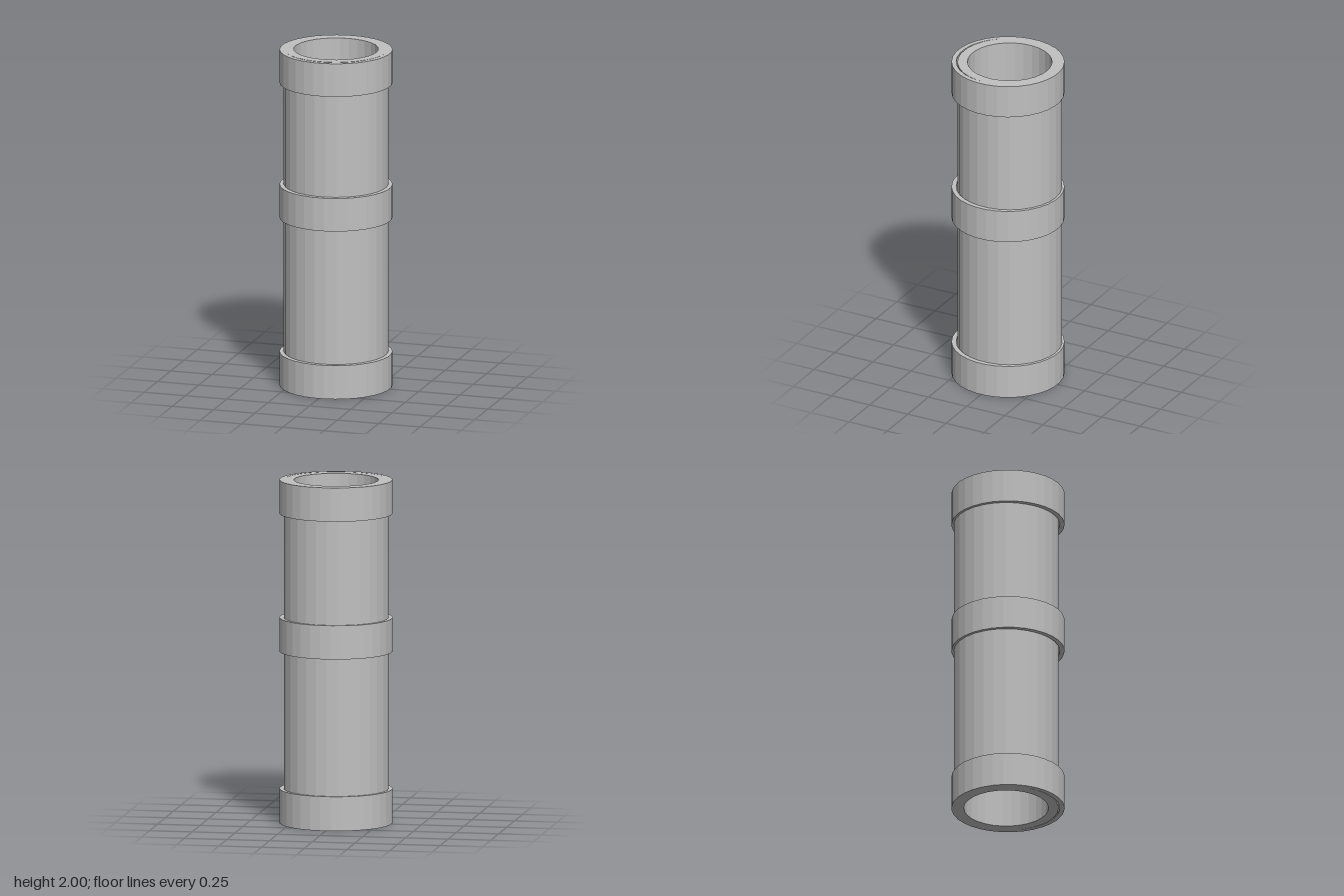
import * as THREE from 'three';

// Closed hollow ring: up the outer wall, across the top, down the bore, back along the bottom
function tubeGeometry(outer, inner, bottom, top, sides, startAngle) {
  const profile = [
    [outer, bottom], [outer, top], [inner, top], [inner, bottom], [outer, bottom],
  ].map(([r, y]) => new THREE.Vector2(r, y));
  return new THREE.LatheGeometry(profile, sides, startAngle);
}

export function createModel() {
  const model = new THREE.Group();
  model.name = 'collaredPipe';

  const grey = new THREE.MeshStandardMaterial({ color: 0xc0c0c0, flatShading: true });
  grey.name = 'pipeGrey';

  // Main hollow pipe, sitting very slightly off the collars' axis
  const pipe = new THREE.Mesh(tubeGeometry(0.302, 0.244, 0, 2, 29, Math.PI), grey);
  pipe.name = 'pipe';
  pipe.position.set(-0.003, 0, -0.01);
  model.add(pipe);

  // Three collars around the pipe
  const collars = [
    ['bottomCollar', 0, 0.2],
    ['middleCollar', 1.0, 1.197],
    ['topCollar', 1.803, 2],
  ];
  for (const [name, bottom, top] of collars) {
    const collar = new THREE.Mesh(
      tubeGeometry(0.326, 0.2985, bottom, top, 32, Math.PI / 32), grey);
    collar.name = name;
    model.add(collar);
  }

  return model;
}
